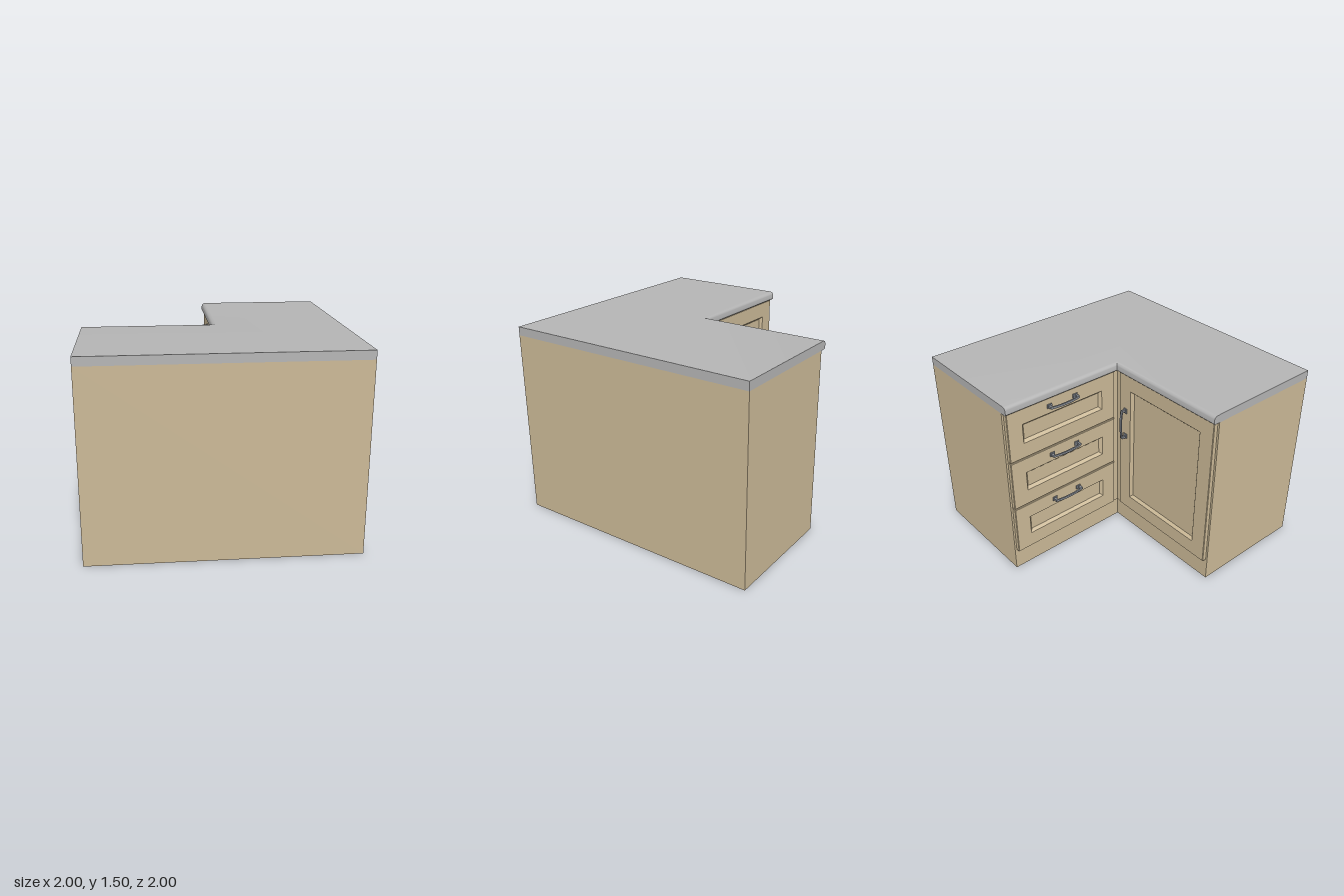
import * as THREE from 'three';
import { toCreasedNormals } from 'three/addons/utils/BufferGeometryUtils.js';

const wood = new THREE.MeshStandardMaterial({ color: 0xcbb997 });
wood.name = 'beige wood';
const stone = new THREE.MeshStandardMaterial({ color: 0xb4b4b4 });
stone.name = 'grey worktop';
const metal = new THREE.MeshStandardMaterial({ color: 0x858a92 });
metal.name = 'handle metal';

const SETBACK = 0.055;  // carcass face behind the worktop edge
const FACE = 0.02;      // front plane of the door and drawers
const BOTTOM = 0.18, TOP = 1.43;

function mesh(name, geometry, material) {
  const m = new THREE.Mesh(geometry, material);
  m.name = name;
  return m;
}

function fromPoints(points, crease) {
  const g = new THREE.BufferGeometry().setFromPoints(points);
  return toCreasedNormals(g, crease);
}

// Sweeps a convex profile of [inset, y] along the L, mitred at the corner
function sweepL(profile) {
  const rows = profile.map(([d, y]) => [
    new THREE.Vector3(-1, y, d),
    new THREE.Vector3(d, y, d),
    new THREE.Vector3(d, y, -1),
  ]);
  const pts = [];
  rows.forEach((p, i) => {
    const q = rows[(i + 1) % rows.length];
    for (let k = 0; k < 2; k++) {
      pts.push(p[k], q[k], q[k + 1], p[k], q[k + 1], p[k + 1]);
    }
  });
  for (let i = 1; i < rows.length - 1; i++) {
    pts.push(rows[0][0], rows[i + 1][0], rows[i][0]);
    pts.push(rows[0][2], rows[i][2], rows[i + 1][2]);
  }
  return fromPoints(pts, 0.6);
}

// Framed front with a bevelled recess: rectangles lofted by [inset, z]
function framedPanel(w, h) {
  const rings = [[0, FACE - SETBACK], [0, -0.004], [0.004, 0], [0.125, 0], [0.145, -0.022]]
    .map(([s, z]) => [[-1, -1], [1, -1], [1, 1], [-1, 1]].map(
      ([sx, sy]) => new THREE.Vector3(sx * (w / 2 - s), sy * (h / 2 - s), z)));
  const pts = [];
  for (let i = 0; i < rings.length - 1; i++) {
    const a = rings[i], b = rings[i + 1];
    for (let k = 0; k < 4; k++) {
      const n = (k + 1) % 4;
      pts.push(a[k], a[n], b[n], a[k], b[n], b[k]);
    }
  }
  const c = rings[rings.length - 1];
  pts.push(c[0], c[1], c[2], c[0], c[2], c[3]);
  return fromPoints(pts, 0.1);
}

// Bowed pull handle lying along x and standing out along z
function makeHandle() {
  const g = new THREE.Group();
  g.name = 'handle';
  const bow = new THREE.Shape();
  bow.moveTo(-0.13, 0.03);
  bow.quadraticCurveTo(0, 0.06, 0.13, 0.03);
  bow.lineTo(0.13, 0.04);
  bow.quadraticCurveTo(0, 0.072, -0.13, 0.04);
  const bar = new THREE.ExtrudeGeometry(bow, { depth: 0.018, bevelEnabled: false, curveSegments: 12 });
  bar.translate(0, 0, -0.009);
  bar.rotateX(Math.PI / 2);
  bar.scale(1, 1, 1);
  g.add(mesh('handleBar', bar, metal));
  for (const s of [-1, 1]) {
    const post = mesh('handlePost', new THREE.BoxGeometry(0.018, 0.018, 0.036), metal);
    post.position.set(s * 0.121, 0, 0.018);
    const plate = mesh('handlePlate', new THREE.BoxGeometry(0.04, 0.032, 0.008), metal);
    plate.position.set(s * 0.115, 0, 0.004);
    g.add(post, plate);
  }
  return g;
}

function makeFront(name, w, h) {
  const g = new THREE.Group();
  g.name = name;
  g.add(mesh(name + 'Panel', framedPanel(w, h), wood));
  return g;
}

export function createModel() {
  const model = new THREE.Group();
  model.name = 'cornerCabinet';

  // Carcass and plinth
  model.add(mesh('carcass', sweepL([[1, 0], [SETBACK, 0], [SETBACK, 1.435], [1, 1.435]]), wood));

  // Worktop with a rounded inner edge
  const edge = [[1, 1.435], [0.008, 1.435], [0, 1.443]];
  const r = 0.03;
  for (let i = 0; i <= 6; i++) {
    const a = (i / 6) * Math.PI / 2;
    edge.push([r - r * Math.cos(a), 1.5 - r + r * Math.sin(a)]);
  }
  edge.push([1, 1.5]);
  model.add(mesh('worktop', sweepL(edge), stone));

  // Filler strips in the inner corner
  const height = TOP - BOTTOM;
  const midY = (TOP + BOTTOM) / 2;
  const fillerA = mesh('cornerFiller', new THREE.BoxGeometry(0.07, height, 0.03), wood);
  fillerA.position.set(0.025, midY, 0.045);
  const fillerB = mesh('cornerFiller', new THREE.BoxGeometry(0.03, height, 0.07), wood);
  fillerB.position.set(0.045, midY, 0.025);
  model.add(fillerA, fillerB);

  // Door with an upright handle
  const door = makeFront('door', 0.975, height);
  door.position.set(-0.4975, midY, FACE);
  door.rotation.y = Math.PI;
  const doorHandle = makeHandle();
  doorHandle.rotation.z = Math.PI / 2;
  doorHandle.position.set(-0.4175, 1.0 - midY, 0);
  door.add(doorHandle);
  model.add(door);

  // Three drawers, each with a handle on its top rail
  const pitch = (height + 0.008) / 3;
  const h = pitch - 0.008;
  for (let i = 0; i < 3; i++) {
    const drawer = makeFront('drawer', 0.975, h);
    drawer.position.set(FACE, BOTTOM + i * pitch + h / 2, -0.4975);
    drawer.rotation.y = -Math.PI / 2;
    const handle = makeHandle();
    handle.position.set(-0.0075, h / 2 - 0.065, 0);
    drawer.add(handle);
    model.add(drawer);
  }
  return model;
}
